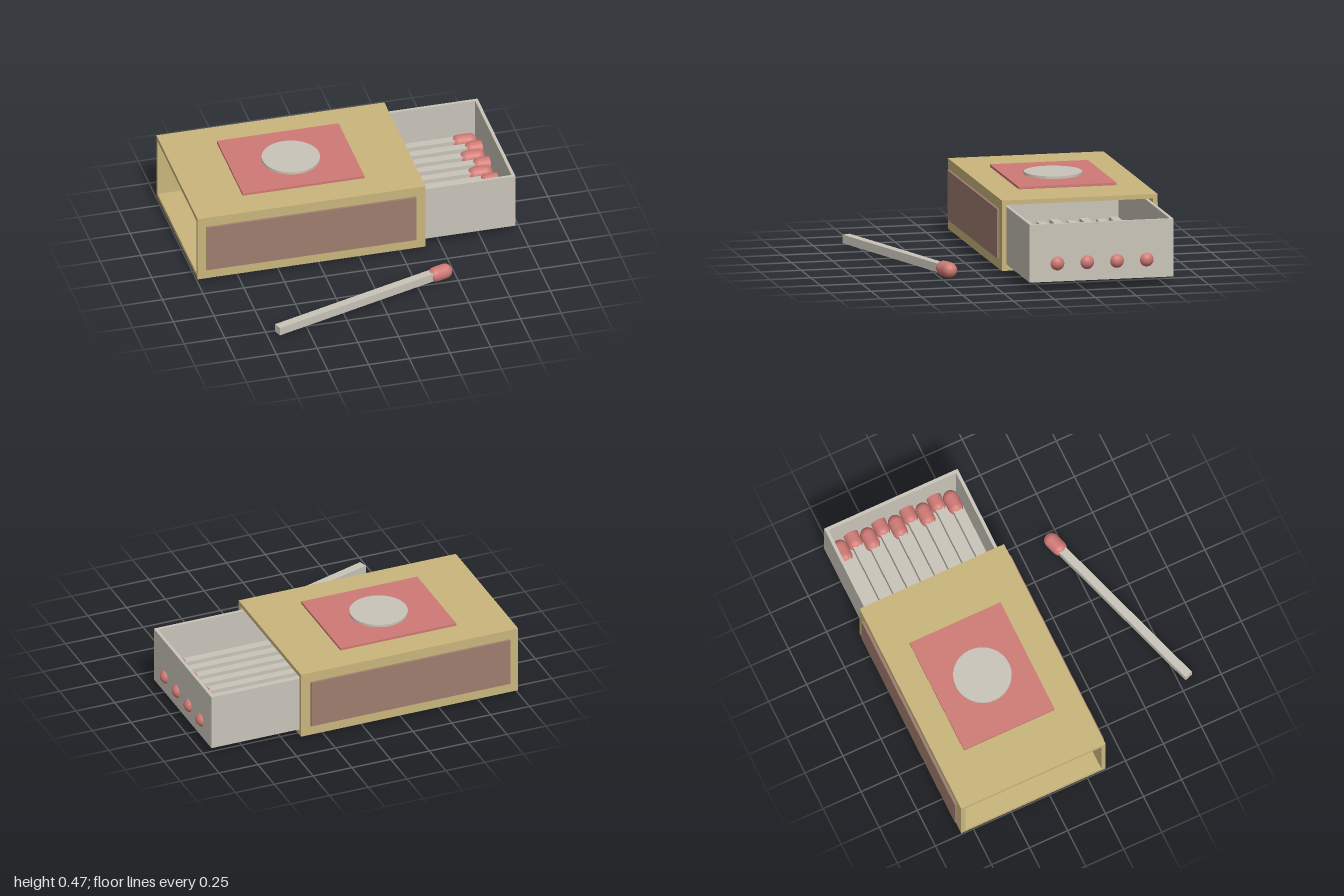
import * as THREE from 'three';

const material = (name, color) => {
  const m = new THREE.MeshStandardMaterial({ color });
  m.name = name;
  return m;
};

export function createModel() {
  const tan = material('tan card', 0xc9b57c);
  const grey = material('pale wood', 0xc9c4b9);
  const red = material('red', 0xcf7a75);
  const brown = material('striker brown', 0x9e7d6f);
  const root = new THREE.Group();
  root.name = 'matchbox';

  const add = (parent, name, geometry, mat) => {
    const mesh = new THREE.Mesh(geometry, mat);
    mesh.name = name;
    parent.add(mesh);
    return mesh;
  };
  // Box given by its min and max corners
  const box = (parent, name, mat, [x0, y0, z0], [x1, y1, z1]) => {
    const mesh = add(parent, name, new THREE.BoxGeometry(x1 - x0, y1 - y0, z1 - z0), mat);
    mesh.position.set((x0 + x1) / 2, (y0 + y1) / 2, (z0 + z1) / 2);
    return mesh;
  };
  const rectangle = (Type, x0, y0, x1, y1) => new Type([
    new THREE.Vector2(x0, y0), new THREE.Vector2(x1, y0),
    new THREE.Vector2(x1, y1), new THREE.Vector2(x0, y1),
  ]);

  // Sleeve: rectangular tube open at both ends, running along x
  const section = rectangle(THREE.Shape, -0.475, 0.025, 0.475, 0.45);
  section.holes.push(rectangle(THREE.Path, -0.448, 0.052, 0.448, 0.423));
  const sleeveGeometry = new THREE.ExtrudeGeometry(section, { depth: 1.4, bevelEnabled: false });
  sleeveGeometry.rotateY(Math.PI / 2);
  add(root, 'sleeve', sleeveGeometry, tan).position.set(-1, 0, -0.355);

  // Striking strips on both long sides
  box(root, 'frontStriker', brown, [-0.945, 0.09, 0.12], [0.34, 0.388, 0.135]);
  box(root, 'backStriker', brown, [-0.945, 0.09, -0.845], [0.34, 0.388, -0.83]);

  // Label and round badge on top
  box(root, 'label', red, [-0.675, 0.45, -0.657], [0.073, 0.465, -0.06]);
  add(root, 'badge', new THREE.CylinderGeometry(0.174, 0.174, 0.015, 48), grey)
    .position.set(-0.3, 0.4725, -0.357);

  // Sliding tray, half pulled out
  const tray = new THREE.Group();
  tray.name = 'tray';
  root.add(tray);
  box(tray, 'trayFloor', grey, [-0.4, 0.056, -0.795], [0.963, 0.076, 0.083]);
  box(tray, 'trayFrontWall', grey, [-0.4, 0.076, 0.063], [0.963, 0.405, 0.083]);
  box(tray, 'trayBackWall', grey, [-0.4, 0.076, -0.795], [0.963, 0.405, -0.775]);
  box(tray, 'trayRightEnd', grey, [-0.4, 0.076, -0.775], [-0.38, 0.405, 0.063]);
  box(tray, 'trayLeftEnd', grey, [0.943, 0.076, -0.775], [0.963, 0.405, 0.063]);

  // Matches: origin at the head centre, stick towards -x
  const headGeometry = new THREE.CapsuleGeometry(0.046, 0.064, 6, 16).rotateZ(-Math.PI / 2);
  const stickGeometry = new THREE.BoxGeometry(1.15, 0.052, 0.052).translate(-0.575, 0, 0);
  const addMatch = (name, x, y, z, turn = 0) => {
    const match = new THREE.Group();
    match.name = name;
    add(match, 'stick', stickGeometry, grey);
    add(match, 'head', headGeometry, red);
    match.position.set(x, y, z);
    match.rotation.y = turn;
    root.add(match);
  };
  for (let i = 0; i < 9; i++) {
    addMatch(`trayMatch${i + 1}`, 0.862 + (i % 2) * 0.052, 0.165, -0.722 + i * 0.0908);
  }
  addMatch('looseMatch', 0.4, 0.051, 0.457, 0.314);

  return root;
}
